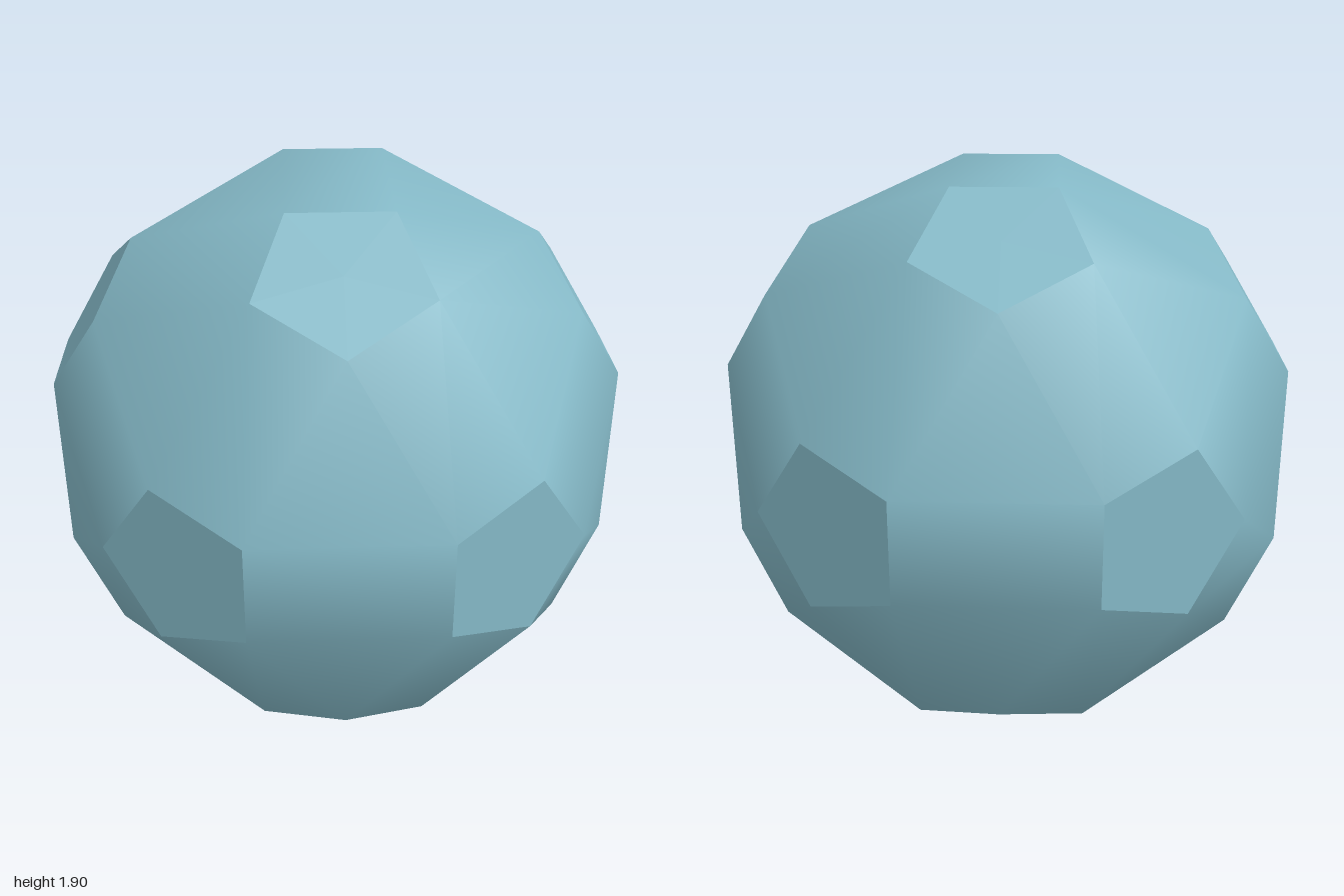
import * as THREE from 'three';

const PANEL_DISTANCE = 0.973; // centre of the ball to a pentagon
const PANEL_RADIUS = 0.29;    // corner radius of a pentagon
const CENTRE_HEIGHT = 0.951;

// Twelve pentagon directions: front, front ring, back ring, back.
function panelAxes() {
  const axes = [new THREE.Vector3(0, 0, 1), new THREE.Vector3(0, 0, -1)];
  const z = 1 / Math.sqrt(5);
  for (let i = 0; i < 5; i++) {
    const a = (i * 2 * Math.PI) / 5;
    const p = new THREE.Vector3(2 * z * Math.cos(a), 2 * z * Math.sin(a), z);
    axes.push(p, p.clone().negate());
  }
  return axes;
}

const near = (a, b) => a !== b && a.dot(b) > 0.4;
const between = (...dirs) => dirs.reduce((s, d) => s.add(d), new THREE.Vector3()).normalize();
const cornerDirection = (axis, b, c) => between(axis, b, c).projectOnPlane(axis).normalize();

// Corner of the pentagon on "axis" that points between neighbours b and c.
// The normal blends the triangle and the two rectangles by their corner angles.
function corner(axis, b, c) {
  return {
    position: axis.clone().multiplyScalar(PANEL_DISTANCE)
      .addScaledVector(cornerDirection(axis, b, c), PANEL_RADIUS),
    normal: between(axis, b, c)
      .addScaledVector(between(axis, b), 1.5)
      .addScaledVector(between(axis, c), 1.5).normalize(),
  };
}

// Smooth shell of 20 triangles and 30 rectangles between the pentagons.
function shellGeometry(axes) {
  const positions = [], normals = [];
  const addTriangle = (a, b, c) => {
    const facing = b.position.clone().sub(a.position)
      .cross(c.position.clone().sub(a.position)).dot(a.position);
    for (const v of facing > 0 ? [a, b, c] : [a, c, b]) {
      positions.push(...v.position);
      normals.push(...v.normal);
    }
  };

  axes.forEach((a, i) => axes.forEach((b, j) => {
    if (j <= i || !near(a, b)) return;
    const shared = axes.filter((c) => near(a, c) && near(b, c));
    // Rectangle joining two neighbouring pentagons
    const [c, d] = shared;
    const quad = [corner(a, b, c), corner(b, a, c), corner(b, a, d), corner(a, b, d)];
    addTriangle(quad[0], quad[1], quad[2]);
    addTriangle(quad[0], quad[2], quad[3]);
    // Triangle among three neighbouring pentagons, built once
    for (const e of shared) {
      if (axes.indexOf(e) > j) addTriangle(corner(a, b, e), corner(b, a, e), corner(e, a, b));
    }
  }));

  const geometry = new THREE.BufferGeometry();
  geometry.setAttribute('position', new THREE.Float32BufferAttribute(positions, 3));
  geometry.setAttribute('normal', new THREE.Float32BufferAttribute(normals, 3));
  return geometry;
}

export function createModel() {
  const material = new THREE.MeshStandardMaterial({ color: 0x84b8c6 });
  const axes = panelAxes();
  const ball = new THREE.Group();
  ball.name = 'facetedBall';
  ball.position.y = CENTRE_HEIGHT;

  const shell = new THREE.Mesh(shellGeometry(axes), material);
  shell.name = 'shell';
  ball.add(shell);

  // Flat pentagon panels
  const pentagon = new THREE.CircleGeometry(PANEL_RADIUS, 5);
  const panels = new THREE.Group();
  panels.name = 'pentagonPanels';
  for (const axis of axes) {
    const b = axes.find((n) => near(axis, n));
    const c = axes.find((n) => near(axis, n) && near(b, n));
    const u = cornerDirection(axis, b, c);
    const panel = new THREE.Mesh(pentagon, material);
    panel.name = 'pentagonPanel';
    panel.quaternion.setFromRotationMatrix(
      new THREE.Matrix4().makeBasis(u, axis.clone().cross(u), axis));
    panel.position.copy(axis).multiplyScalar(PANEL_DISTANCE);
    panels.add(panel);
  }
  ball.add(panels);

  const model = new THREE.Group();
  model.name = 'model';
  model.add(ball);
  return model;
}
